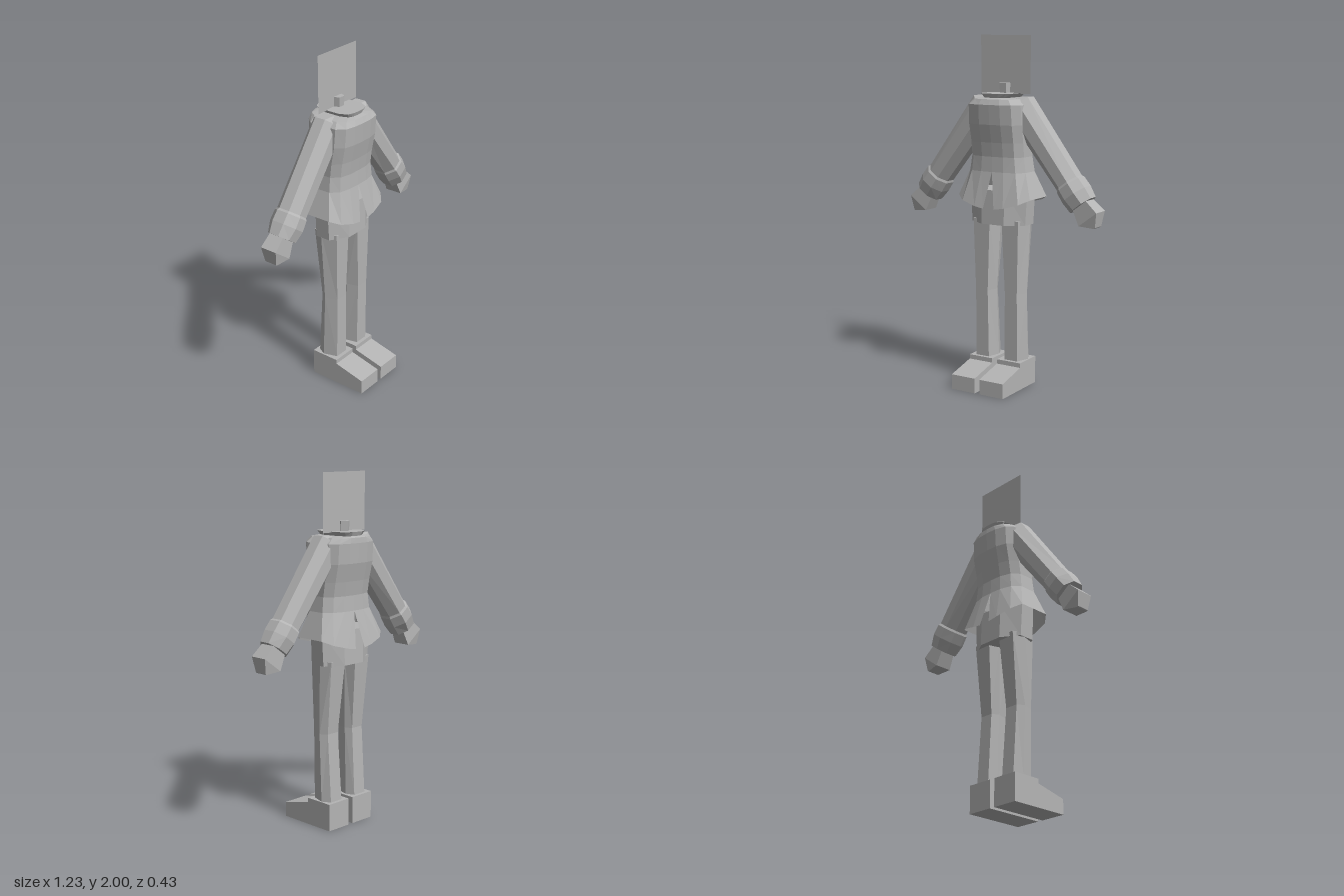
import * as THREE from 'three';

const grey = new THREE.MeshStandardMaterial({ color: 0xb4b4b4, flatShading: true, side: THREE.DoubleSide });
grey.name = 'plain grey';

// Skin a series of point rings; flips the faces if they point inwards
function loft(rings, { closed = true, caps = true, mirror = 1 } = {}) {
  const n = rings[0].length, tris = [];
  for (let r = 0; r < rings.length - 1; r++) {
    for (let i = 0; i < (closed ? n : n - 1); i++) {
      const j = (i + 1) % n;
      const a = rings[r][i], b = rings[r][j], c = rings[r + 1][j], d = rings[r + 1][i];
      tris.push([a, b, c], [a, c, d]);
    }
  }
  if (caps) {
    const first = rings[0], last = rings[rings.length - 1];
    for (let i = 1; i < n - 1; i++) {
      tris.push([first[0], first[i + 1], first[i]], [last[0], last[i], last[i + 1]]);
    }
  }
  const all = rings.flat();
  const mid = all.reduce((s, p) => s.add(p), new THREE.Vector3()).divideScalar(all.length);
  let volume = 0;
  for (const [a, b, c] of tris) {
    volume += a.clone().sub(mid).dot(b.clone().sub(mid).cross(c.clone().sub(mid)));
  }
  const flip = (volume < 0) !== (mirror < 0);
  const pos = [];
  for (const [a, b, c] of tris) {
    for (const p of flip ? [a, c, b] : [a, b, c]) pos.push(p.x * mirror, p.y, p.z);
  }
  const geo = new THREE.BufferGeometry();
  geo.setAttribute('position', new THREE.Float32BufferAttribute(pos, 3));
  geo.computeVertexNormals();
  return geo;
}

const V = (x, y, z) => new THREE.Vector3(x, y, z);

// Flat-sided ring spanned by two half-axes
function ring(center, u, v, n) {
  const k = 1 / Math.cos(Math.PI / n);
  return Array.from({ length: n }, (_, i) => {
    const a = ((i + 0.5) / n) * Math.PI * 2;
    return center.clone().addScaledVector(u, Math.cos(a) * k).addScaledVector(v, Math.sin(a) * k);
  });
}

// Ring across the arm, tilted by a unit direction
function armRing([x, y, half, depth, px = 0.8, py = 0.6], n, z) {
  return ring(V(x, y, z), V(px * half, py * half, 0), V(0, 0, depth), n);
}

export function createModel() {
  const model = new THREE.Group();
  const add = (name, geo, parent = model) => {
    const mesh = new THREE.Mesh(geo, grey);
    mesh.name = name;
    parent.add(mesh);
    return mesh;
  };

  // Head card and neck stub
  add('headCard', new THREE.PlaneGeometry(0.325, 0.325)).position.set(0, 1.8375, -0.09);
  const neck = add('neck', new THREE.CylinderGeometry(0.036, 0.03, 0.1, 5));
  neck.position.set(0, 1.685, -0.087);
  neck.rotation.y = Math.PI;

  // Hips
  const hipRing = (y, w, d) => ring(V(0, y, -0.06), V(w, 0, 0), V(0, 0, d), 8);
  add('hips', loft([hipRing(0.945, 0.176, 0.11), hipRing(1.14, 0.187, 0.105)]));

  // Jacket levels: height, half width, front z, back z, slit half width
  const jacketLevels = [
    [1.04, 0.235, 0.095, -0.216, 0.035],
    [1.245, 0.183, 0.055, -0.17, 0],
    [1.33, 0.171, 0.052, -0.165, 0],
    [1.41, 0.171, 0.062, -0.178, 0],
    [1.51, 0.173, 0.082, -0.2, 0],
    [1.62, 0.17, 0.09, -0.206, 0],
    [1.65, 0.14, 0.075, -0.203, 0],
    [1.657, 0.08, 0.05, -0.185, 0],
    [1.68, 0.1, 0.058, -0.194, 0],
    [1.68, 0, 0.058, -0.194, 0],
  ];
  const hemRise = [0, 0.01, 0.035, 0.06, 0.06, 0.035, 0.01, 0];
  const jacketRings = jacketLevels.map(([y, w, f, b, gap], level) => [
    [gap, f], [w * 0.4, f - 0.002], [w * 0.78, f - 0.016], [w, f - 0.06],
    [w, b + 0.065], [w * 0.78, b + 0.022], [w * 0.4, b + 0.003], [gap, b],
  ].map(([x, z], i) => V(x, y + (level === 0 ? hemRise[i] : 0), z)));

  // Sleeve levels: x, y, half thickness, half depth, tilt
  const sleeveLevels = [
    [0.085, 1.585, 0.075, 0.07, 0.2, 0.98],
    [0.11, 1.612, 0.084, 0.08],
    [0.425, 1.2, 0.073, 0.08],
    [0.433, 1.19, 0.08, 0.088],
    [0.47, 1.14, 0.083, 0.09],
    [0.51, 1.085, 0.077, 0.074],
  ];
  // Hand levels
  const handLevels = [
    [0.5, 1.1, 0.045, 0.045],
    [0.563, 1.015, 0.067, 0.052],
    [0.599, 0.968, 0.004, 0.038],
  ];
  // Leg levels: height, inner x, outer x, front z, middle z, back z
  const legLevels = [
    [0.15, 0.033, 0.163, 0.006, -0.075, -0.125],
    [0.55, 0.038, 0.163, 0.01, -0.06, -0.1],
    [0.97, 0.02, 0.174, 0.017, -0.075, -0.14],
  ];
  const legRings = legLevels.map(([y, a, b, f, m, k]) => [
    V(a + 0.02, y, f), V(b - 0.026, y, f), V(b, y, m),
    V(b - 0.026, y, k), V(a + 0.02, y, k), V(a, y, m),
  ]);
  // Shoe outline as z, y pairs
  const shoe = [[-0.145, 0], [-0.145, 0.157], [0.028, 0.157], [0.028, 0.131], [0.215, 0.086], [0.215, 0]];

  for (const mirror of [1, -1]) {
    const side = new THREE.Group();
    side.name = mirror > 0 ? 'leftSide' : 'rightSide';
    model.add(side);

    add('jacketHalf', loft(jacketRings, { closed: false, caps: false, mirror }), side);
    add('sleeve', loft(sleeveLevels.map((l) => armRing(l, 8, -0.068)), { mirror }), side);
    // Square rings come out flat on the two half-axes
    add('hand', loft(handLevels.map((l) => armRing(l, 4, -0.07)), { mirror }), side);
    add('leg', loft(legRings, { mirror }), side);

    const outline = new THREE.Shape(shoe.map(([z, y]) => new THREE.Vector2(-z, y)));
    const shoeGeo = new THREE.ExtrudeGeometry(outline, { depth: 0.155, bevelEnabled: false });
    shoeGeo.rotateY(Math.PI / 2);
    shoeGeo.translate(mirror > 0 ? 0.016 : -0.171, 0, 0);
    add('shoe', shoeGeo, side);
  }
  return model;
}
